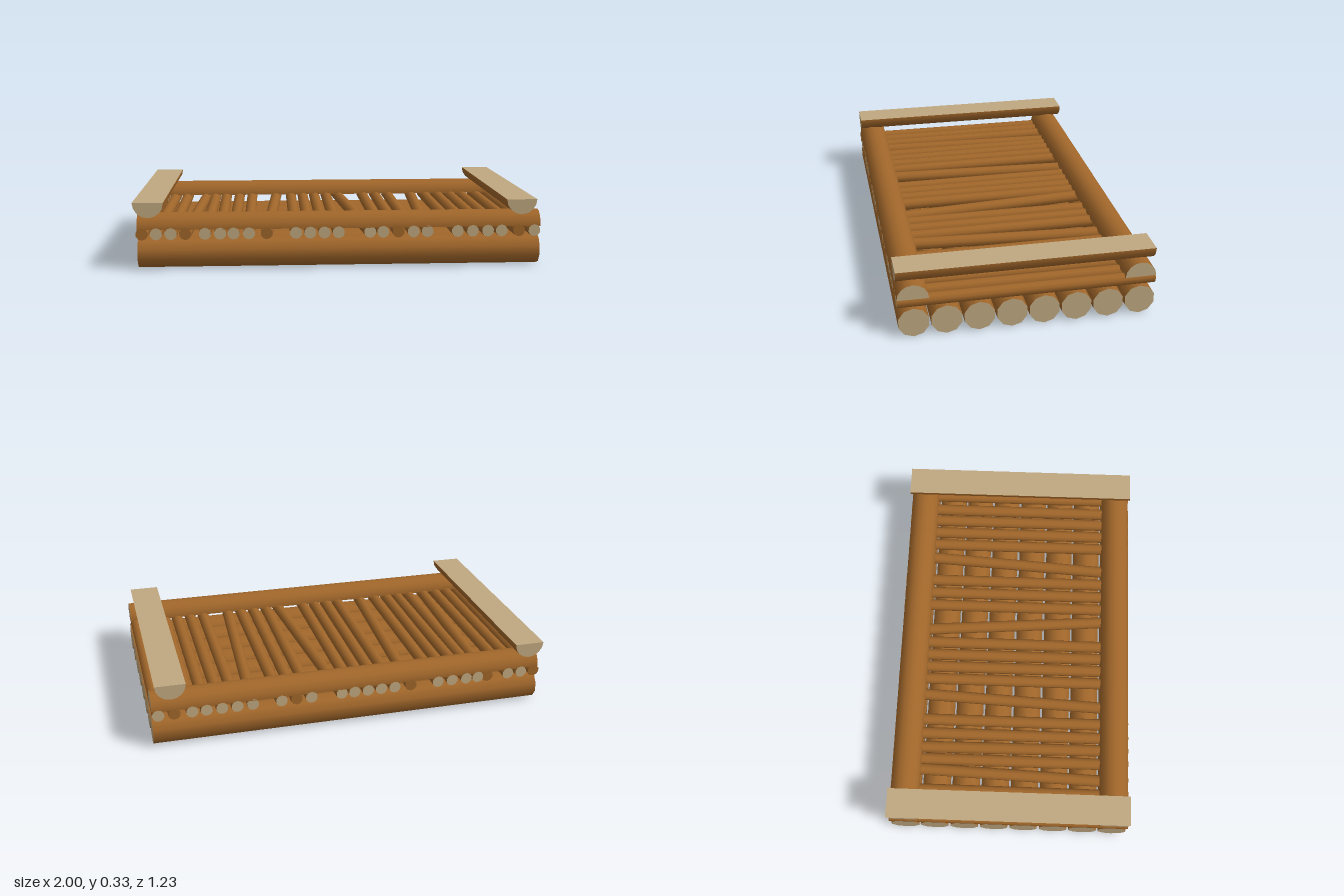
import * as THREE from 'three';

const bark = new THREE.MeshStandardMaterial({ color: 0xa0662a });
const wood = new THREE.MeshStandardMaterial({ color: 0xc0a880 });
const R = 0.075;      // log radius
const POLE_R = 0.03;  // deck pole radius
const WIDTH = 1.23;   // extent along z

// Half log along x, domed upwards, with a sawn flat underside
function halfLog(name, length) {
  const group = new THREE.Group();
  group.name = name;
  const dome = new THREE.CylinderGeometry(R, R, length, 8, 1, false, 0, Math.PI);
  dome.rotateZ(Math.PI / 2);
  const round = new THREE.Mesh(dome, [bark, wood, wood]);
  round.name = name + 'Bark';
  const flat = new THREE.Mesh(new THREE.PlaneGeometry(length, 2 * R).rotateX(Math.PI / 2), wood);
  flat.name = name + 'SawnFace';
  group.add(round, flat);
  return group;
}

export function createModel() {
  const raft = new THREE.Group();
  raft.name = 'logRaft';

  // Eight floating logs side by side
  const logGeo = new THREE.CylinderGeometry(R, R, 1.98, 10, 1, false, Math.PI / 2);
  logGeo.rotateZ(Math.PI / 2);
  for (let i = 0; i < 8; i++) {
    const log = new THREE.Mesh(logGeo, [bark, wood, wood]);
    log.name = 'floatLog';
    log.position.set(0.01, R, -0.54 + i * 1.08 / 7);
    raft.add(log);
  }

  // Deck poles: [x at front end, x at back end], a few laid askew
  const poles = [
    -0.957, -0.888, -0.817, [-0.747, -0.703], -0.652, [-0.578, -0.59], -0.513, -0.438,
    [-0.352, -0.293], -0.209, -0.139, -0.07, 0, [0.155, 0.064], 0.219, 0.294, 0.369,
    [0.438, 0.512], 0.588, 0.663, 0.738, 0.807, 0.893, 0.97,
  ];
  const barkEnds = [0, 3, 8, 15, 22];
  const poleGeo = new THREE.CylinderGeometry(POLE_R, POLE_R, WIDTH, 10);
  poleGeo.rotateX(Math.PI / 2);
  poles.forEach((p, i) => {
    const [front, back] = Array.isArray(p) ? p : [p, p];
    const end = barkEnds.includes(i) ? bark : wood;
    const pole = new THREE.Mesh(poleGeo, [bark, end, end]);
    pole.name = 'deckPole';
    pole.position.set((front + back) / 2, 0.178, 0);
    pole.rotation.y = Math.atan2(front - back, WIDTH);
    raft.add(pole);
  });

  // Half-log rails along the front and back edges
  for (const z of [0.54, -0.54]) {
    const rail = halfLog('sideRail', 1.98);
    rail.position.set(0.01, 0.199, z);
    raft.add(rail);
  }

  // Half-log cross beams at both ends, flat side up
  for (const x of [-0.925, 0.905]) {
    const beam = halfLog('crossBeam', WIDTH);
    beam.rotation.set(Math.PI, Math.PI / 2, 0);
    beam.position.set(x, 0.333, 0);
    raft.add(beam);
  }
  return raft;
}
